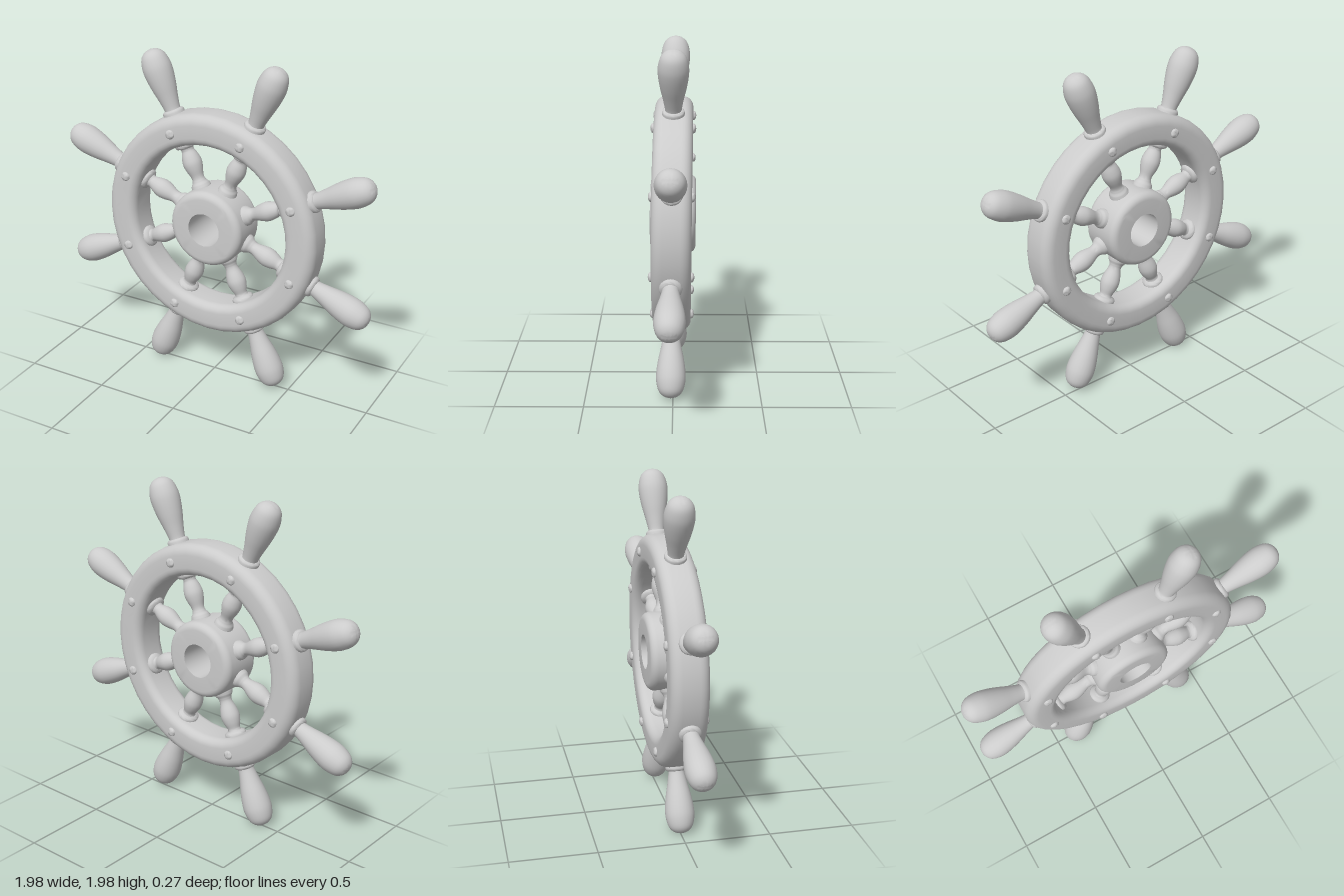
import * as THREE from 'three';
import { toCreasedNormals } from 'three/addons/utils/BufferGeometryUtils.js';

const material = new THREE.MeshStandardMaterial({ color: 0xcccccc });
const SPOKES = 8;
const FIRST_ANGLE = THREE.MathUtils.degToRad(23.4);

const vectors = (pairs) => pairs.map(([r, y]) => new THREE.Vector2(r, y));

// Turned part around the y axis, smooth except at sharp edges
function turned(points, segments, crease = 0.7) {
  return toCreasedNormals(new THREE.LatheGeometry(points, segments), crease);
}

// Smooth curve through a few profile points
const smooth = (pairs, n) => new THREE.SplineCurve(vectors(pairs)).getPoints(n)
  .map((p) => new THREE.Vector2(Math.max(p.x, 0), p.y));

// Ring around the z axis with a rounded rectangular section
function ring(inner, outer, half, innerRound, outerRound, segments) {
  const points = [];
  const corner = (cx, cy, radius, start) => {
    const steps = radius > 0 ? 6 : 0;
    for (let i = 0; i <= steps; i++) {
      const a = start + (steps ? (i / steps) * Math.PI / 2 : 0);
      points.push(new THREE.Vector2(cx + radius * Math.cos(a), cy + radius * Math.sin(a)));
    }
  };
  corner(outer - outerRound, outerRound - half, outerRound, -Math.PI / 2);
  corner(outer - outerRound, half - outerRound, outerRound, 0);
  corner(inner + innerRound, half - innerRound, innerRound, Math.PI / 2);
  corner(inner + innerRound, innerRound - half, innerRound, Math.PI);
  points.push(points[0].clone());
  return turned(points, segments).rotateX(Math.PI / 2);
}

function mesh(name, geometry, parent) {
  const m = new THREE.Mesh(geometry, material);
  m.name = name;
  parent.add(m);
  return m;
}

export function createModel() {
  const model = new THREE.Group();
  model.name = 'shipWheel';

  // Wheel leans by a hair from the upright plane
  const wheel = new THREE.Group();
  wheel.name = 'wheel';
  wheel.position.y = 1.005;
  wheel.rotation.set(-0.008, -0.013, 0);
  model.add(wheel);

  // Rim and bored hub
  mesh('rim', ring(0.492, 0.675, 0.108, 0.05, 0.06, 40), wheel);
  mesh('hub', ring(0.1, 0.228, 0.13, 0, 0.042, 40), wheel);

  // Baluster between hub and rim, with a collar at each end
  const baluster = turned([
    ...smooth([[0.058, 0.2], [0.056, 0.235], [0.04, 0.262], [0.037, 0.29], [0.05, 0.335],
      [0.056, 0.375], [0.049, 0.415], [0.037, 0.45], [0.04, 0.465]], 28),
    ...vectors([[0.058, 0.472], [0.063, 0.48], [0.063, 0.496], [0.058, 0.52]]),
  ], 20);

  // Collar and pear-shaped grip outside the rim
  const collar = turned(vectors([[0.06, 0.64], [0.063, 0.682], [0.06, 0.692],
    [0.052, 0.698], [0.04, 0.7]]), 20);
  const grip = turned(smooth([[0.046, 0.68], [0.047, 0.71], [0.058, 0.77], [0.073, 0.84], [0.083, 0.91],
    [0.083, 0.965], [0.068, 1.02], [0.038, 1.05], [0, 1.06]], 32), 24, 1);

  // Domed rivet standing along z
  const rivet = turned(vectors([[0.027, 0.085], [0.027, 0.113], [0.024, 0.119],
    [0.014, 0.124], [0, 0.126]]), 16, 1).rotateX(Math.PI / 2);

  for (let i = 0; i < SPOKES; i++) {
    const spoke = new THREE.Group();
    spoke.name = `spoke${i + 1}`;
    spoke.rotation.z = FIRST_ANGLE + (i / SPOKES) * Math.PI * 2 - Math.PI / 2;
    wheel.add(spoke);
    mesh('baluster', baluster, spoke);
    mesh('collar', collar, spoke);
    mesh('grip', grip, spoke);
    mesh('frontRivet', rivet, spoke).position.y = 0.58;
    const back = mesh('backRivet', rivet, spoke);
    back.position.y = 0.58;
    back.rotation.y = Math.PI;
  }
  return model;
}
